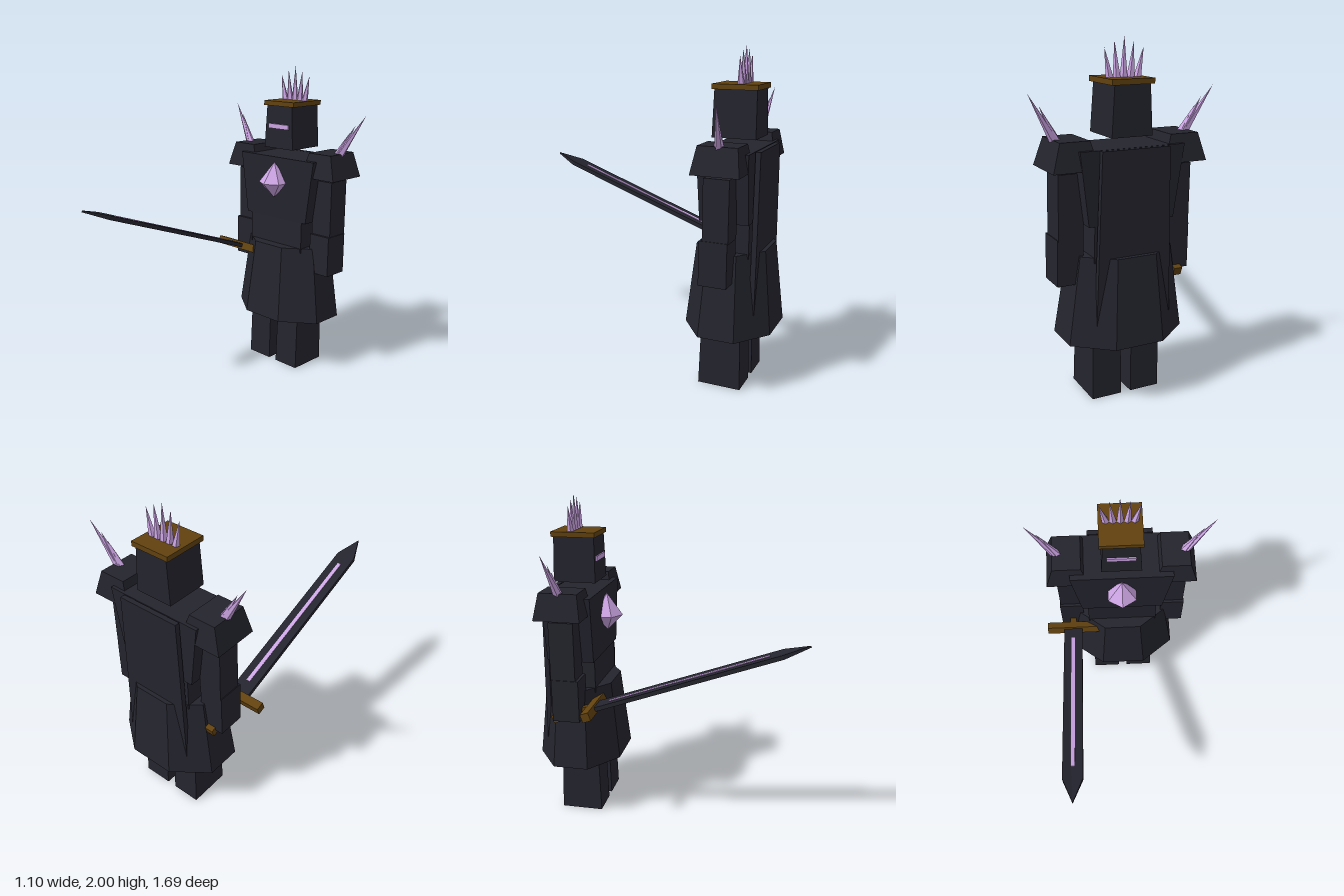
import * as THREE from 'three';

const material = (name, color) => {
  const m = new THREE.MeshStandardMaterial({ color });
  m.name = name;
  return m;
};

export function createModel() {
  const armour = material('dark armour', 0x24242e);
  const bronze = material('dark bronze', 0x62420f);
  const crystal = material('lilac crystal', 0xcca4e4);
  const model = new THREE.Group();
  const Z = -0.58; // depth of the body's centre

  const faceted = (geometry) => {
    const g = geometry.index ? geometry.toNonIndexed() : geometry;
    g.computeVertexNormals();
    return g;
  };
  const add = (name, geometry, mat, x, y, z, parent = model) => {
    const mesh = new THREE.Mesh(faceted(geometry), mat);
    mesh.name = name;
    mesh.position.set(x, y, z);
    parent.add(mesh);
    return mesh;
  };
  // Box standing on y = 0, with separate bottom and top sizes
  const taperBox = (bw, bd, tw, td, h) => {
    const g = new THREE.BoxGeometry(1, h, 1).translate(0, h / 2, 0);
    const p = g.attributes.position;
    for (let i = 0; i < p.count; i++) {
      const top = p.getY(i) > h / 2;
      p.setX(i, p.getX(i) * (top ? tw : bw));
      p.setZ(i, p.getZ(i) * (top ? td : bd));
    }
    return g;
  };
  // Cone running from a base point to a tip
  const spike = (name, base, tip, radius) => {
    const a = new THREE.Vector3(...base);
    const d = new THREE.Vector3(...tip).sub(a);
    const length = d.length();
    const g = new THREE.ConeGeometry(radius, length, 5).translate(0, length / 2, 0);
    const mesh = add(name, g, crystal, ...base);
    mesh.quaternion.setFromUnitVectors(new THREE.Vector3(0, 1, 0), d.normalize());
  };

  // Torso and skirt
  const skirt = new THREE.CylinderGeometry(0.303, 0.379, 0.495, 8)
    .rotateY(Math.PI / 8).scale(1, 1, 0.75);
  add('skirt', skirt, armour, 0, 0.6025, Z);
  add('waist', taperBox(0.44, 0.28, 0.44, 0.28, 0.22), armour, 0, 0.82, Z);
  add('chest', taperBox(0.51, 0.29, 0.62, 0.3, 0.405), armour, 0, 1.025, Z);
  add('cape', taperBox(0.45, 0.03, 0.4, 0.03, 0.97), armour, 0, 0.46, -0.75);

  // Head with visor slit and crown
  add('head', taperBox(0.24, 0.26, 0.21, 0.25, 0.28), armour, 0, 1.483, Z);
  add('visor', new THREE.BoxGeometry(0.17, 0.03, 0.009), crystal, 0, 1.625, -0.448);
  add('crownBand', new THREE.BoxGeometry(0.25, 0.03, 0.27), bronze, 0, 1.77, Z);
  for (let i = -2; i <= 2; i++) {
    const tipY = [2, 1.975, 1.94][Math.abs(i)];
    spike('crownSpike', [i * 0.04, 1.775, -0.603], [i * 0.058, tipY, -0.603], 0.023);
  }

  // Chest gem
  add('gemTop', new THREE.ConeGeometry(0.1, 0.135, 6, 1, true), crystal, 0, 1.3325, -0.415);
  const under = new THREE.ConeGeometry(0.1, 0.1, 6, 1, true).rotateZ(Math.PI);
  add('gemBottom', under, crystal, 0, 1.215, -0.415);

  // Limbs and shoulder armour
  for (const s of [1, -1]) {
    add('leg', taperBox(0.18, 0.26, 0.17, 0.23, 0.5), armour, s * 0.12, 0, -0.56);
    add('upperArm', taperBox(0.145, 0.15, 0.145, 0.15, 0.36), armour, s * 0.328, 0.945, -0.582);
    add('forearm', taperBox(0.15, 0.165, 0.15, 0.165, 0.26), armour, s * 0.33, 0.692, -0.572);
    add('shoulderPlate', taperBox(0.26, 0.28, 0.17, 0.23, 0.155), armour, s * 0.325, 1.325, -0.587);
    spike('shoulderSpike', [s * 0.385, 1.46, -0.588], [s * 0.55, 1.725, -0.625], 0.027);
    spike('shoulderSpike', [s * 0.375, 1.46, -0.592], [s * 0.484, 1.66, -0.61], 0.024);
    spike('shoulderSpike', [s * 0.37, 1.46, -0.585], [s * 0.452, 1.615, -0.6], 0.024);
  }

  // Sword, pointing forward and raised 20 degrees
  const sword = new THREE.Group();
  sword.name = 'sword';
  sword.position.set(-0.33, 0.77, -0.42);
  sword.rotation.x = -THREE.MathUtils.degToRad(20);
  model.add(sword);

  const outline = new THREE.Shape([
    [-0.06, 0], [0.06, 0], [0.06, 1.19], [0, 1.346], [-0.06, 1.19],
  ].map(([x, y]) => new THREE.Vector2(x, y)));
  const blade = new THREE.ExtrudeGeometry(outline, { depth: 0.026, bevelEnabled: false })
    .translate(0, 0, -0.013).rotateX(Math.PI / 2);
  const p = blade.attributes.position;
  for (let i = 0; i < p.count; i++) {
    if (p.getZ(i) > 1.3) p.setY(i, p.getY(i) * 0.4); // thin the tip
  }
  add('blade', blade, armour, 0, 0, 0, sword);
  for (const s of [1, -1]) {
    add('bladeInlay', new THREE.BoxGeometry(0.024, 0.004, 1.005), crystal, 0, s * 0.0135, 0.61, sword);
  }
  add('guard', new THREE.BoxGeometry(0.34, 0.052, 0.052), bronze, 0, 0, 0, sword);
  add('grip', new THREE.BoxGeometry(0.04, 0.04, 0.25), bronze, 0, 0, -0.13, sword);
  add('pommel', new THREE.BoxGeometry(0.052, 0.05, 0.045), bronze, 0, 0, -0.25, sword);

  return model;
}
